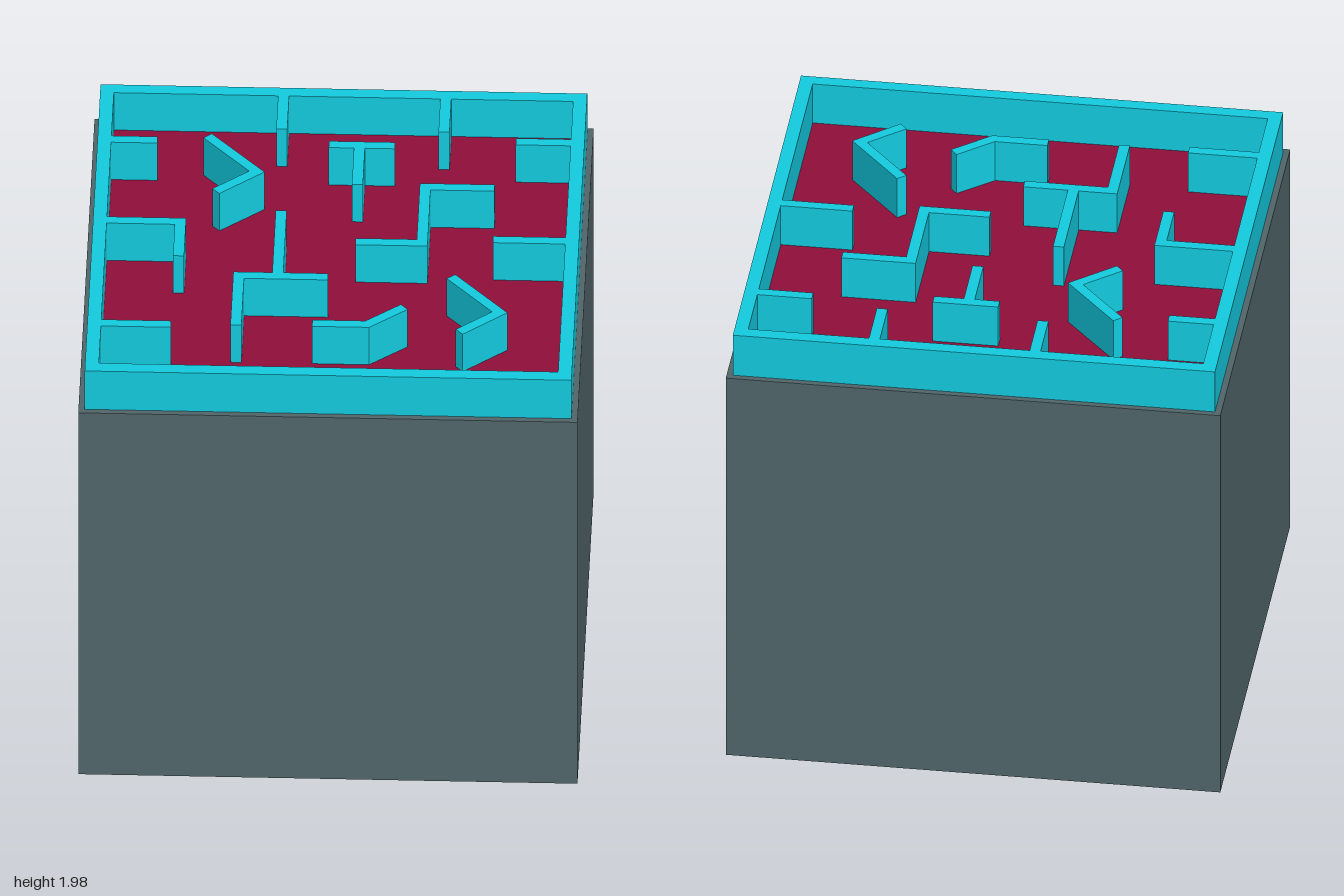
import * as THREE from 'three';

const BASE_TOP = 1.79, WALL_TOP = 1.98, WALL_W = 0.044;

const grey = new THREE.MeshStandardMaterial({ color: 0x51666a });
const cyan = new THREE.MeshStandardMaterial({ color: 0x13cbe0 });
const red = new THREE.MeshStandardMaterial({ color: 0x900e3a });

// Extrudes a plan drawn in (x, z) upwards from y0 to y1
function extrudeUp(shape, y0, y1) {
  const geo = new THREE.ExtrudeGeometry(shape, { depth: y1 - y0, bevelEnabled: false });
  return geo.rotateX(-Math.PI / 2).translate(0, y0, 0);
}

function squareRing(outer, inner) {
  const corners = (h) => [[-h, -h], [h, -h], [h, h], [-h, h]].map(([x, y]) => new THREE.Vector2(x, y));
  const shape = new THREE.Shape(corners(outer));
  shape.holes.push(new THREE.Path(corners(inner)));
  return shape;
}

// Outline of a path of constant width with mitred corners and square ends
function wallShape(path) {
  const pts = path.map(([x, z]) => new THREE.Vector2(x, -z));
  const normals = pts.slice(1).map((p, i) => {
    const d = p.clone().sub(pts[i]).normalize();
    return new THREE.Vector2(-d.y, d.x);
  });
  const left = [], right = [];
  pts.forEach((p, i) => {
    const a = normals[Math.max(i - 1, 0)];
    const b = normals[Math.min(i, normals.length - 1)];
    const miter = a.clone().add(b).multiplyScalar(WALL_W / 2 / (1 + a.dot(b)));
    left.push(p.clone().add(miter));
    right.unshift(p.clone().sub(miter));
  });
  return new THREE.Shape([...left, ...right]);
}

export function createModel() {
  const model = new THREE.Group();
  model.name = 'mazeBox';
  const add = (name, geo, mat, parent = model) => {
    const mesh = new THREE.Mesh(geo, mat);
    mesh.name = name;
    parent.add(mesh);
  };

  // Hollow base, open underneath
  add('baseSides', extrudeUp(squareRing(1, 0.94), 0, BASE_TOP), grey);
  add('baseLid', new THREE.BoxGeometry(1.88, 0.06, 1.88).translate(0, BASE_TOP - 0.03, 0), grey);

  // Playing surface and the rim around it
  add('mazeFloor', new THREE.BoxGeometry(1.84, 0.01, 1.84).translate(0, BASE_TOP, 0), red);
  add('rim', extrudeUp(squareRing(0.975, 0.92), BASE_TOP, WALL_TOP), cyan);

  // Maze walls as centre lines in (x, z)
  const E = 0.93; // ends tucked into the rim
  const walls = {
    backStubLeft: [[0.41, -E], [0.41, -0.695]],
    backStubRight: [[-0.24, -E], [-0.24, -0.695]],
    rightStubBack: [[-E, -0.605], [-0.735, -0.605]],
    rightStubFront: [[-E, 0.645], [-0.64, 0.645]],
    leftStubBack: [[E, -0.64], [0.7, -0.64]],
    leftStubMiddle: [[E, 0.028], [0.63, 0.028]],
    rightHook: [[-E, -0.055], [-0.625, -0.055], [-0.625, 0.18]],
    backChevron: [[-0.535, -0.64], [-0.33, -0.403], [-0.49, -0.265]],
    frontChevron: [[0.47, 0.285], [0.673, 0.522], [0.515, 0.66]],
    teeBar: [[-0.048, -0.597], [0.217, -0.597]],
    teeStem: [[0.075, -0.58], [0.075, -0.328]],
    zigzag: [[0.625, -0.322], [0.347, -0.322], [0.347, 0.06], [0.08, 0.06]],
    forkStem: [[-0.224, -0.14], [-0.224, 0.3]],
    forkArm: [[-0.022, 0.303], [-0.38, 0.303], [-0.38, 0.643]],
    bentWall: [[-0.075, 0.62], [0.145, 0.62], [0.29, 0.498]],
  };
  const maze = new THREE.Group();
  maze.name = 'mazeWalls';
  model.add(maze);
  for (const [name, path] of Object.entries(walls)) {
    add(name, extrudeUp(wallShape(path), BASE_TOP, WALL_TOP), cyan, maze);
  }
  return model;
}
